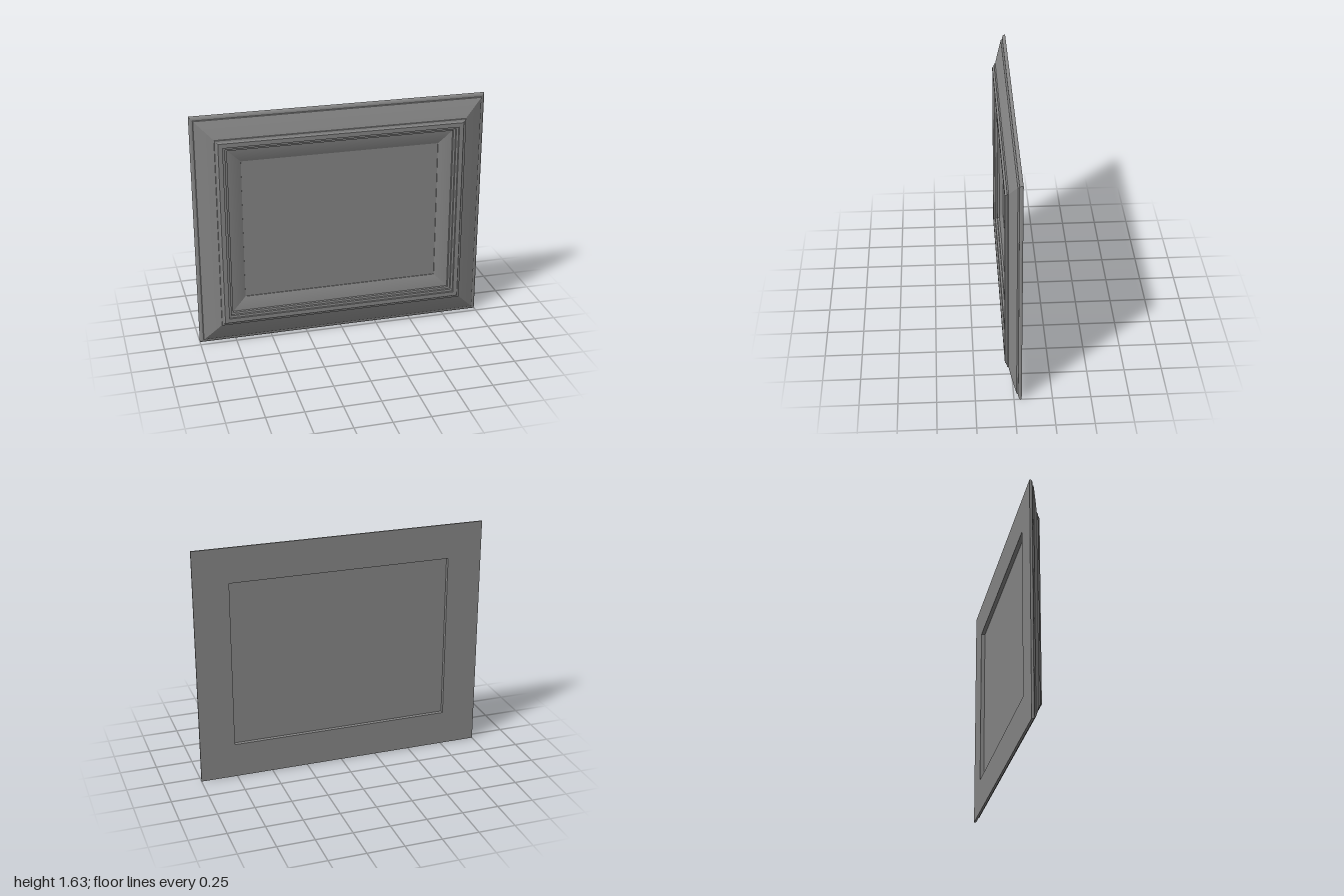
import * as THREE from 'three';
import { toCreasedNormals } from 'three/addons/utils/BufferGeometryUtils.js';

const HALF_W = 1, HEIGHT = 1.635;

// Moulding section as [inset from outer edge, z], running from the back over the front and round to the rebate
const cove = [];
for (let i = 0; i <= 8; i++) {
  const t = i / 8;
  cove.push([0.232 + 0.092 * t, 0.006 - 0.012 * t - 0.01 * t * t]);
}
const slope = [];
for (let i = 0; i <= 6; i++) {
  const t = i / 6;
  slope.push([0.026 + 0.122 * t, -0.018 + 0.046 * t + 0.004 * t * (1 - t)]);
}
const profile = [
  [0, -0.05], [0, -0.039], [0.003, -0.034], [0.009, -0.03], [0.016, -0.028], [0.024, -0.028],
  ...slope,
  [0.149, 0.037], [0.156, 0.038], [0.163, 0.041], [0.168, 0.046], [0.169, 0.05],
  [0.199, 0.05], [0.2, 0.038], [0.215, 0.036], [0.216, 0.022], [0.23, 0.02],
  ...cove,
  [0.325, -0.02], [0.24, -0.02], [0.24, -0.05], [0, -0.05],
];

// Corners in order, anticlockwise from the front
const corners = [[-1, -1], [1, -1], [1, 1], [-1, 1]];
const cornerPoint = ([sx, sy], [inset, z]) =>
  [sx * (HALF_W - inset), HEIGHT / 2 + sy * (HEIGHT / 2 - inset), z];

// One mitred rail between two corners
function railGeometry(from, to) {
  const positions = [];
  for (let i = 0; i < profile.length - 1; i++) {
    const a = cornerPoint(from, profile[i]), b = cornerPoint(to, profile[i]);
    const c = cornerPoint(to, profile[i + 1]), d = cornerPoint(from, profile[i + 1]);
    positions.push(...a, ...b, ...c, ...a, ...c, ...d);
  }
  const geometry = new THREE.BufferGeometry();
  geometry.setAttribute('position', new THREE.Float32BufferAttribute(positions, 3));
  geometry.computeVertexNormals();
  return toCreasedNormals(geometry, 0.35);
}

export function createModel() {
  const group = new THREE.Group();
  group.name = 'pictureFrame';
  const material = new THREE.MeshStandardMaterial({ color: 0x888888 });

  // Four mitred rails
  ['bottomRail', 'leftRail', 'topRail', 'rightRail'].forEach((name, k) => {
    const rail = new THREE.Mesh(railGeometry(corners[k], corners[(k + 1) % 4]), material);
    rail.name = name;
    group.add(rail);
  });

  // Flat picture panel behind the inner lip
  const panel = new THREE.Mesh(new THREE.BoxGeometry(1.52, HEIGHT - 0.48, 0.004), material);
  panel.name = 'picturePanel';
  panel.position.set(0, HEIGHT / 2, -0.0215);
  group.add(panel);

  return group;
}
